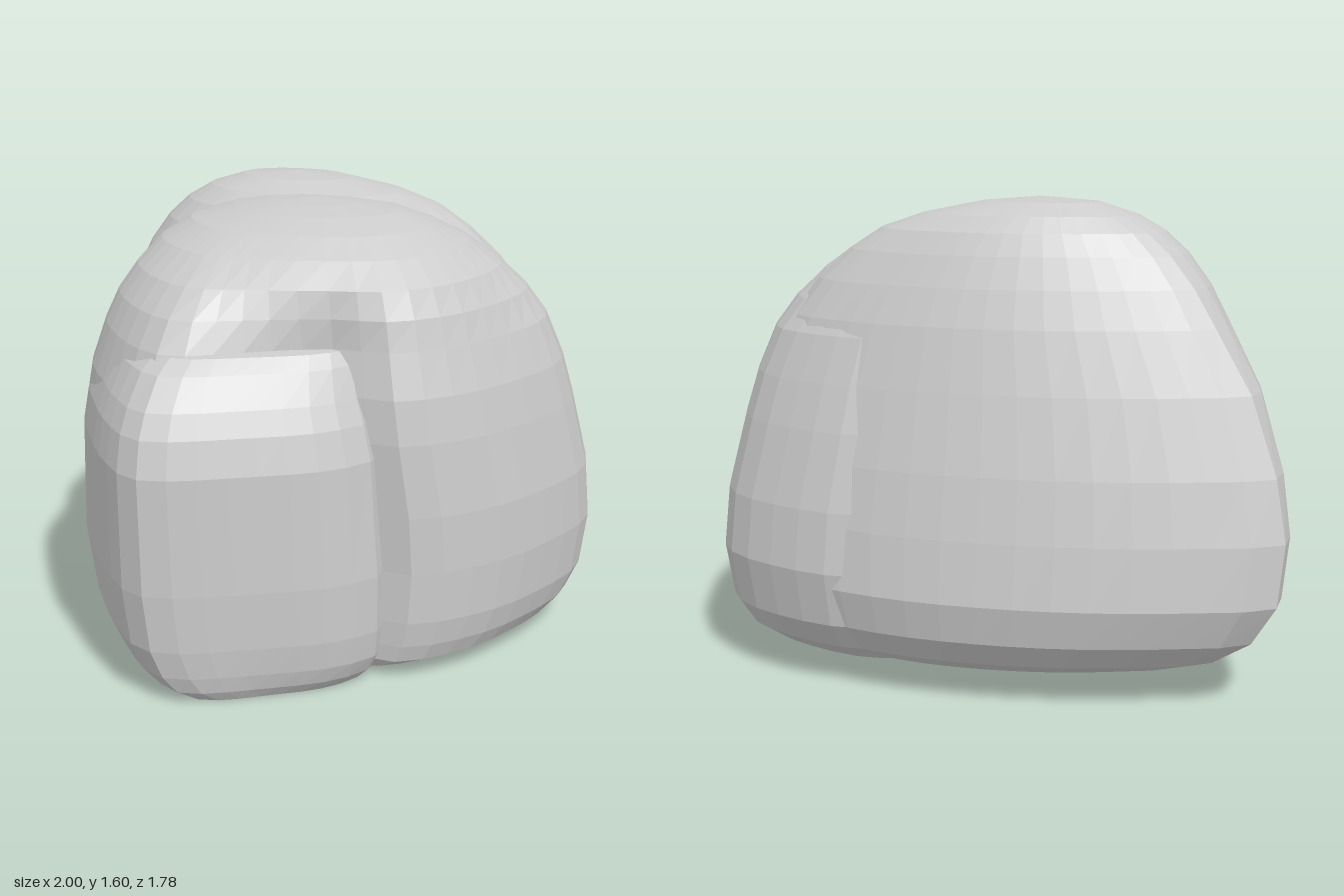
import * as THREE from 'three';

const material = new THREE.MeshStandardMaterial({ color: 0xcccccc, flatShading: true });

// Lofts a rounded stone: a plan outline [x, z] is fitted to the box of each row
// [y, xMin, xMax, zMin, zMax, roundness], then closed with a cap point below and above.
// Roundness blends the outline toward an ellipse.
function stone(name, outline, rows, topY, sides) {
  const curve = new THREE.CatmullRomCurve3(
    outline.map(([x, z]) => new THREE.Vector3(x, 0, z)), true, 'centripetal');
  const plan = curve.getSpacedPoints(sides).slice(0, sides);
  const box = new THREE.Box3().setFromPoints(plan);
  const size = box.getSize(new THREE.Vector3());
  const pos = [];
  const index = [];

  for (const [y, x0, x1, z0, z1, round = 0] of rows) {
    for (const p of plan) {
      const u = (p.x - box.min.x) / size.x - 0.5;
      const v = (p.z - box.min.z) / size.z - 0.5;
      const k = THREE.MathUtils.lerp(1, 0.5 / Math.hypot(u, v), round);
      pos.push((x0 + x1) / 2 + u * k * (x1 - x0), y, (z0 + z1) / 2 + v * k * (z1 - z0));
    }
  }
  const last = rows.length - 1;
  const bottom = rows.length * sides;
  const capPoint = ([, x0, x1, z0, z1], y) => pos.push((x0 + x1) / 2, y, (z0 + z1) / 2);
  capPoint(rows[0], rows[0][0]);
  capPoint(rows[last], topY);

  for (let j = 0; j < sides; j++) {
    const k = (j + 1) % sides;
    for (let i = 0; i < last; i++) {
      const a = i * sides + j, b = i * sides + k;
      const c = a + sides, d = b + sides;
      index.push(a, c, b, c, d, b);
    }
    index.push(bottom, j, k);
    index.push(bottom + 1, last * sides + k, last * sides + j);
  }

  const geometry = new THREE.BufferGeometry();
  geometry.setAttribute('position', new THREE.Float32BufferAttribute(pos, 3));
  geometry.setIndex(index);
  geometry.computeVertexNormals();
  const mesh = new THREE.Mesh(geometry, material);
  mesh.name = name;
  return mesh;
}

export function createModel() {
  const group = new THREE.Group();
  group.name = 'boulder';

  // Broad rear mass with the highest crest
  group.add(stone('backRock', [
    [-1, -0.65], [-0.8, -0.75], [-0.4, -0.86], [0, -0.89], [0.3, -0.86], [0.6, -0.77],
    [0.8, -0.66], [0.88, -0.47], [0.8, -0.25], [0.5, 0], [0, 0.1], [-0.5, 0.13],
    [-0.7, 0.1], [-0.82, 0], [-0.88, -0.1], [-0.95, -0.35],
  ], [
    [0.015, -0.33, 0.4, -0.38, 0.06],
    [0.04, -0.48, 0.55, -0.56, 0.08],
    [0.08, -0.64, 0.68, -0.7, 0.1],
    [0.13, -0.77, 0.76, -0.79, 0.11],
    [0.22, -0.9, 0.83, -0.86, 0.13],
    [0.35, -0.98, 0.88, -0.89, 0.13],
    [0.55, -1, 0.9, -0.865, 0.13],
    [0.75, -0.975, 0.87, -0.83, 0.12, 0.1],
    [1.0, -0.9, 0.81, -0.775, 0.09, 0.25],
    [1.2, -0.79, 0.72, -0.725, 0.05, 0.4],
    [1.32, -0.72, 0.63, -0.685, 0.02, 0.5],
    [1.42, -0.64, 0.52, -0.645, -0.02, 0.6],
    [1.49, -0.56, 0.41, -0.61, -0.07, 0.7],
    [1.54, -0.47, 0.26, -0.565, -0.13, 0.8],
    [1.58, -0.34, 0.06, -0.48, -0.22, 1],
  ], 1.597, 40));

  // Main domed mass, wrapping around the model's left and rear corner
  group.add(stone('mainRock', [
    [-0.6, -0.02], [-0.2, -0.45], [0.15, -0.75], [0.4, -0.83], [0.65, -0.77], [0.86, -0.65],
    [0.97, -0.47], [1, -0.28], [0.93, -0.05], [0.8, 0.2], [0.6, 0.4], [0.5, 0.43],
    [0.38, 0.41], [0.22, 0.48], [-0.05, 0.66], [-0.18, 0.74], [-0.27, 0.74], [-0.4, 0.66],
    [-0.58, 0.48], [-0.7, 0.3], [-0.74, 0.16], [-0.7, 0.06],
  ], [
    [0, -0.38, 0.55, -0.3, 0.52],
    [0.03, -0.5, 0.75, -0.52, 0.62],
    [0.07, -0.6, 0.88, -0.66, 0.69],
    [0.13, -0.68, 0.94, -0.75, 0.72],
    [0.22, -0.72, 0.98, -0.81, 0.74],
    [0.4, -0.74, 1, -0.84, 0.745],
    [0.6, -0.74, 0.985, -0.82, 0.75],
    [0.85, -0.72, 0.93, -0.77, 0.75],
    [1.0, -0.69, 0.89, -0.73, 0.73],
    [1.15, -0.645, 0.83, -0.69, 0.675, 0.05],
    [1.25, -0.61, 0.77, -0.65, 0.62, 0.25],
    [1.34, -0.56, 0.69, -0.59, 0.54, 0.5],
    [1.42, -0.5, 0.58, -0.52, 0.41, 0.7],
    [1.48, -0.41, 0.46, -0.43, 0.28, 0.9],
    [1.52, -0.27, 0.33, -0.33, 0.14, 1],
    [1.54, -0.14, 0.18, -0.22, 0.03, 1],
  ], 1.55, 44));

  // Lower wedge at the front with a stepped top
  group.add(stone('frontRock', [
    [-0.66, 0.2], [-0.3, 0.15], [0.2, 0.18], [0.42, 0.3], [0.46, 0.43], [0.35, 0.59],
    [0.1, 0.75], [-0.13, 0.87], [-0.24, 0.88], [-0.38, 0.77], [-0.55, 0.56], [-0.7, 0.3],
  ], [
    [0, -0.4, 0.38, 0.18, 0.77],
    [0.04, -0.52, 0.42, 0.16, 0.82],
    [0.1, -0.61, 0.45, 0.15, 0.85],
    [0.2, -0.67, 0.46, 0.15, 0.875],
    [0.4, -0.7, 0.46, 0.15, 0.89],
    [0.8, -0.69, 0.43, 0.15, 0.89],
    [0.92, -0.67, 0.4, 0.15, 0.86],
    [1.0, -0.64, 0.37, 0.15, 0.82],
    [1.1, -0.6, 0.34, 0.15, 0.74],
    [1.145, -0.56, 0.32, 0.15, 0.68],
  ], 1.17, 30));

  return group;
}
